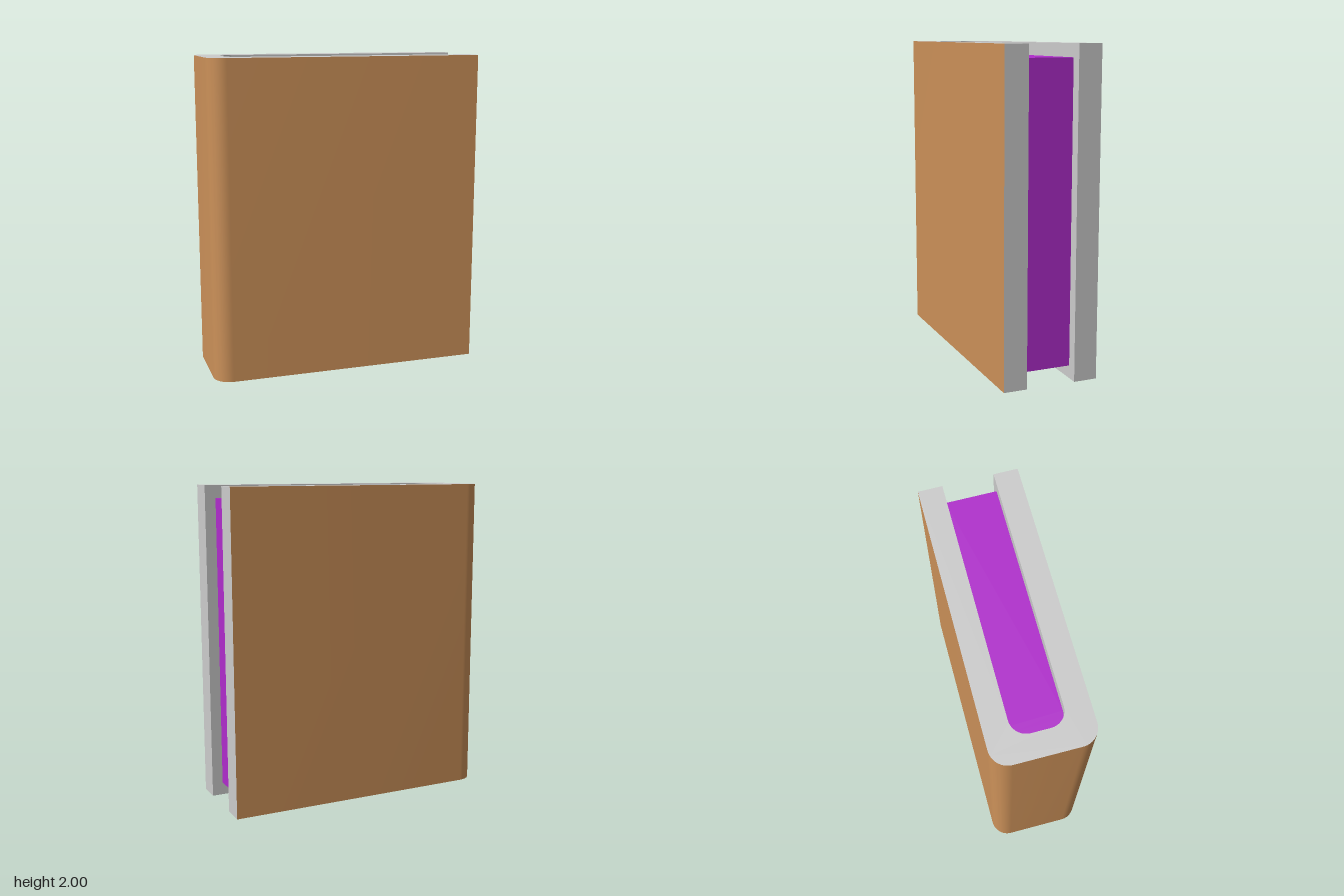
import * as THREE from 'three';
import { toCreasedNormals } from 'three/addons/utils/BufferGeometryUtils.js';

const HEIGHT = 2, LEFT = -0.863, RIGHT = 0.863;

// U-shaped path, open towards +x, with rounded corners at the spine end
function uPath(left, right, half, radius) {
  const points = [new THREE.Vector2(right, half)];
  for (const side of [1, -1]) {
    for (let i = 0; i <= 16; i++) {
      const a = (side > 0 ? Math.PI / 2 : Math.PI) + (i / 16) * Math.PI / 2;
      points.push(new THREE.Vector2(
        left + radius + radius * Math.cos(a),
        side * (half - radius) + radius * Math.sin(a)));
    }
  }
  points.push(new THREE.Vector2(right, -half));
  return points;
}

// Upright wall that follows a path, facing to the right of its direction
function wall(points, y0, y1) {
  const positions = [];
  for (let i = 0; i < points.length - 1; i++) {
    const a = points[i], b = points[i + 1];
    positions.push(a.x, y0, -a.y, b.x, y0, -b.y, b.x, y1, -b.y);
    positions.push(a.x, y0, -a.y, b.x, y1, -b.y, a.x, y1, -a.y);
  }
  const geometry = new THREE.BufferGeometry();
  geometry.setAttribute('position', new THREE.Float32BufferAttribute(positions, 3));
  return toCreasedNormals(geometry, Math.PI / 6);
}

export function createModel() {
  const model = new THREE.Group();
  const cover = new THREE.Group();
  cover.name = 'cover';
  model.add(cover);

  const tan = new THREE.MeshStandardMaterial({ color: 0xcc9159 });
  tan.name = 'tan leather';
  const grey = new THREE.MeshStandardMaterial({ color: 0xcccccc });
  grey.name = 'light grey board';
  const purple = new THREE.MeshStandardMaterial({ color: 0xb02ccc });
  purple.name = 'purple paper';

  const add = (parent, name, geometry, material) => {
    const mesh = new THREE.Mesh(geometry, material);
    mesh.name = name;
    parent.add(mesh);
  };

  const outer = uPath(LEFT, RIGHT, 0.302, 0.11);
  const inner = uPath(-0.72, RIGHT, 0.155, 0.1).reverse();

  // Cover: outside skin, inside lining and the two fore edges
  add(cover, 'coverOutside', wall(outer, 0, HEIGHT), tan);
  add(cover, 'coverLining', wall(inner, 0, HEIGHT), grey);
  add(cover, 'backForeEdge', wall([inner.at(-1), outer[0]], 0, HEIGHT), grey);
  add(cover, 'frontForeEdge', wall([outer.at(-1), inner[0]], 0, HEIGHT), grey);

  // Cover: top and bottom edges
  const section = new THREE.Shape([...outer, ...inner]);
  const topEdge = new THREE.ShapeGeometry(section).rotateX(-Math.PI / 2).translate(0, HEIGHT, 0);
  const bottomEdge = new THREE.ShapeGeometry(section).rotateX(Math.PI / 2);
  add(cover, 'coverTopEdge', topEdge, grey);
  add(cover, 'coverBottomEdge', bottomEdge, grey);

  // Page block, set in from the cover at the top, bottom and fore edge
  const pageShape = new THREE.Shape(uPath(-0.72, 0.795, 0.155, 0.1));
  const pages = new THREE.ExtrudeGeometry(pageShape, { depth: 1.84, bevelEnabled: false })
    .rotateX(-Math.PI / 2).translate(0, 0.08, 0);
  add(model, 'pages', toCreasedNormals(pages, Math.PI / 6), purple);

  return model;
}
